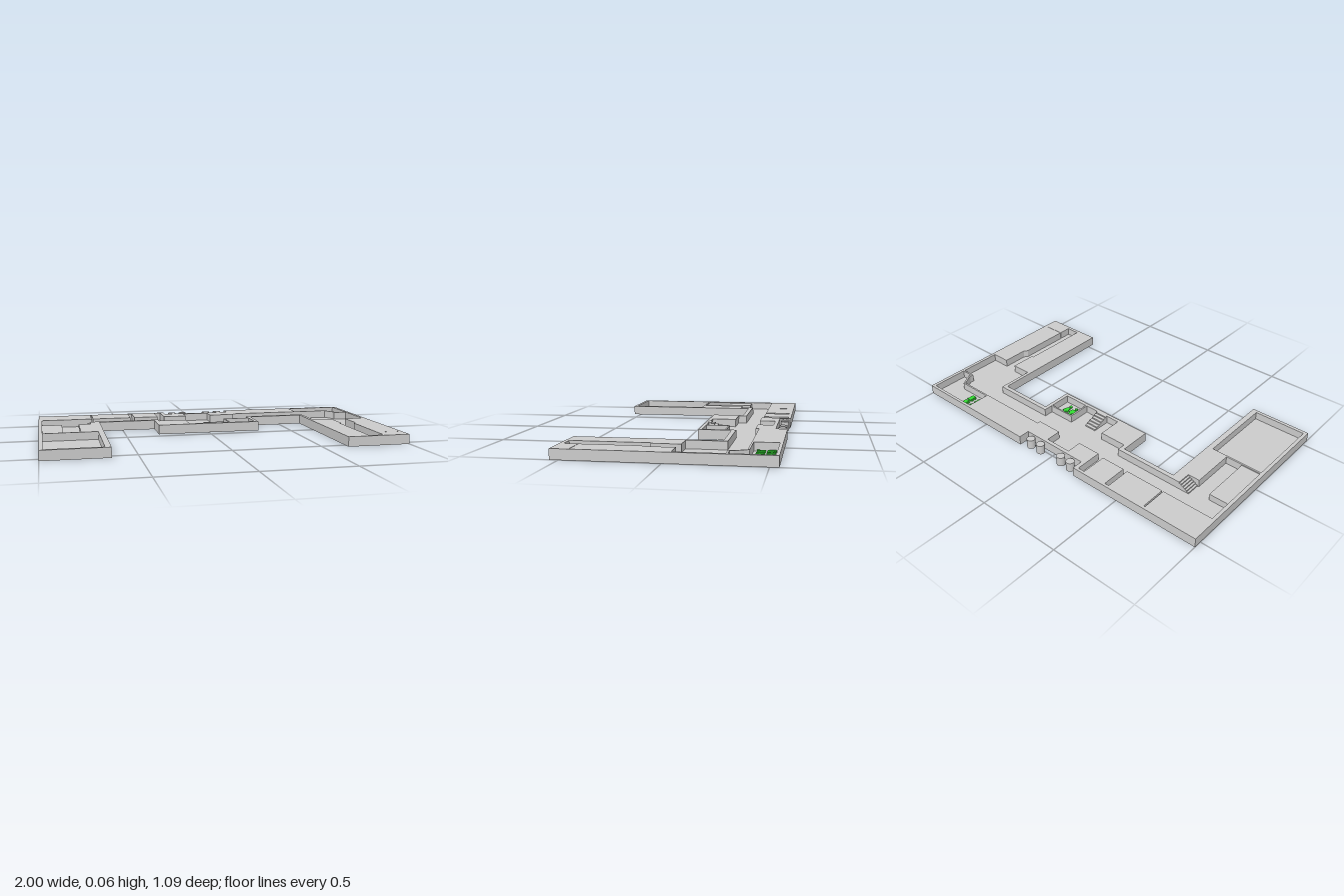
import * as THREE from 'three';

const FLOOR = 0.01, TOP = 0.055;
const grey = new THREE.MeshStandardMaterial({ color: 0xcccccc, flatShading: true });
const smoothGrey = new THREE.MeshStandardMaterial({ color: 0xcccccc });
const green = new THREE.MeshStandardMaterial({ color: 0x33dd33, flatShading: true });

// Plan points are [x, z], clockwise from above; reversed so that all walls face outwards
const plan = (pts) => pts.map(([x, z]) => new THREE.Vector2(x, -z)).reverse();

// Extrude a plan upwards from y0 to y1
function prism(name, pts, y0, y1, mat = grey, holes = []) {
  const shape = new THREE.Shape(plan(pts));
  shape.holes = holes.map((h) => new THREE.Path(plan(h)));
  const geo = new THREE.ExtrudeGeometry(shape, { depth: y1 - y0, bevelEnabled: false });
  geo.rotateX(-Math.PI / 2).translate(0, y0, 0);
  const mesh = new THREE.Mesh(geo, mat);
  mesh.name = name;
  return mesh;
}

const rect = (x0, x1, z0, z1) => [[x0, z0], [x1, z0], [x1, z1], [x0, z1]];

// Solid steps rising along +x or +z, up to yTop
function stairs(name, x0, x1, z0, z1, axis, yTop, count = 6) {
  const g = new THREE.Group();
  g.name = name;
  for (let i = 0; i < count; i++) {
    const a = i / count, b = (i + 1) / count;
    const r = axis === 'x'
      ? rect(x0 + (x1 - x0) * a, x0 + (x1 - x0) * b, z0, z1)
      : rect(x0, x1, z0 + (z1 - z0) * a, z0 + (z1 - z0) * b);
    g.add(prism('step', r, FLOOR, FLOOR + (yTop - FLOOR) * b));
  }
  return g;
}

// Table with two rows of chairs
function table(x, z) {
  const g = new THREE.Group();
  g.name = 'table';
  g.add(prism('tableTop', rect(x - 0.013, x + 0.013, z - 0.022, z + 0.022), FLOOR, 0.02, green));
  for (const s of [-1, 1]) {
    const c = z + s * 0.011;
    g.add(prism('chairs', rect(x - 0.021, x + 0.021, c - 0.006, c + 0.006), FLOOR, 0.016, green));
  }
  return g;
}

// Flat figure lying on the washroom floor
function figure(x, half) {
  const g = new THREE.Group();
  g.name = 'washroomFigure';
  const right = half.map(([dx, z]) => [x + dx, z]);
  const left = half.map(([dx, z]) => [x - dx, z]).reverse();
  g.add(prism('figureBody', [...right, ...left], FLOOR, 0.018, green));
  const head = new THREE.Mesh(new THREE.CylinderGeometry(0.009, 0.009, 0.008, 16), green);
  head.name = 'figureHead';
  head.position.set(x, 0.014, -0.106);
  g.add(head);
  return g;
}

export function createModel() {
  const model = new THREE.Group();
  model.name = 'floorPlanBuilding';

  const outline = [
    [-1, -0.545], [-0.2, -0.545], [-0.2, -0.48], [0.21, -0.48], [0.21, -0.545], [1, -0.545],
    [1, 0.545], [0.64, 0.545], [0.64, -0.243], [0.308, -0.243], [0.308, -0.058],
    [-0.305, -0.058], [-0.305, -0.243], [-0.64, -0.243], [-0.64, 0.545], [-1, 0.545],
  ];

  // Corridor running through both wings, with its side slots and bays
  const corridor = [
    [-0.98, -0.378],
    [-0.678, -0.378], [-0.678, -0.528], [-0.67, -0.528], [-0.67, -0.378],
    [-0.437, -0.378], [-0.437, -0.528], [-0.411, -0.528], [-0.411, -0.378],
    [-0.266, -0.378], [-0.266, -0.528], [-0.224, -0.528], [-0.224, -0.368],
    [-0.083, -0.368], [-0.083, -0.458], [0.075, -0.458], [0.075, -0.368],
    [0.228, -0.368], [0.228, -0.388], [0.867, -0.388], [0.9, -0.323], [0.9, -0.298], [0.98, -0.298],
    [0.98, -0.043], [0.868, -0.043], [0.868, 0.112], [0.852, 0.132],
    [0.852, 0.446], [0.98, 0.446], [0.98, 0.448], [0.852, 0.448], [0.852, 0.524],
    [0.768, 0.524], [0.768, 0.102], [0.78, 0.102], [0.78, -0.053], [0.66, -0.053], [0.66, -0.268],
    [0.287, -0.268], [0.287, -0.213], [0.127, -0.213], [0.127, -0.078],
    [-0.115, -0.078], [-0.115, -0.218], [-0.28, -0.218], [-0.28, -0.268],
    [-0.685, -0.268], [-0.685, -0.188], [-0.768, -0.188], [-0.768, 0.067], [-0.98, 0.067],
  ];
  const hall = rect(-0.98, -0.672, 0.077, 0.525);
  const washroom = rect(0.137, 0.287, -0.205, -0.078);
  const diningRoom = [
    [0.66, -0.528], [0.98, -0.528], [0.98, -0.308], [0.91, -0.308], [0.91, -0.326], [0.873, -0.398], [0.66, -0.398],
  ];

  model.add(prism('floorSlab', outline, 0, FLOOR));
  model.add(prism('walls', outline, FLOOR, TOP, grey, [corridor, hall, washroom, diningRoom]));

  // Lower block beside the west alley
  model.add(prism('lowBlock', rect(-0.98, -0.865, -0.235, 0.067), FLOOR, 0.048));

  model.add(stairs('westStairs', -0.76, -0.685, -0.268, -0.188, 'x', TOP));
  model.add(stairs('centralStairs', -0.032, 0.042, -0.185, -0.072, 'z', 0.057));

  // Round tanks behind the building
  for (const x of [-0.15, -0.08, 0.077, 0.152]) {
    const tank = new THREE.Mesh(new THREE.CylinderGeometry(0.024, 0.024, TOP, 32), smoothGrey);
    tank.name = 'tank';
    tank.position.set(x, TOP / 2, -0.515);
    model.add(tank);
  }

  for (const x of [0.692, 0.752]) for (const z of [-0.492, -0.439]) model.add(table(x, z));
  model.add(figure(0.188, [[0.009, -0.178], [0.01, -0.155], [0.018, -0.15], [0.014, -0.122]]));
  model.add(figure(0.23, [[0.006, -0.178], [0.007, -0.16], [0.019, -0.157], [0.008, -0.122]]));
  return model;
}
